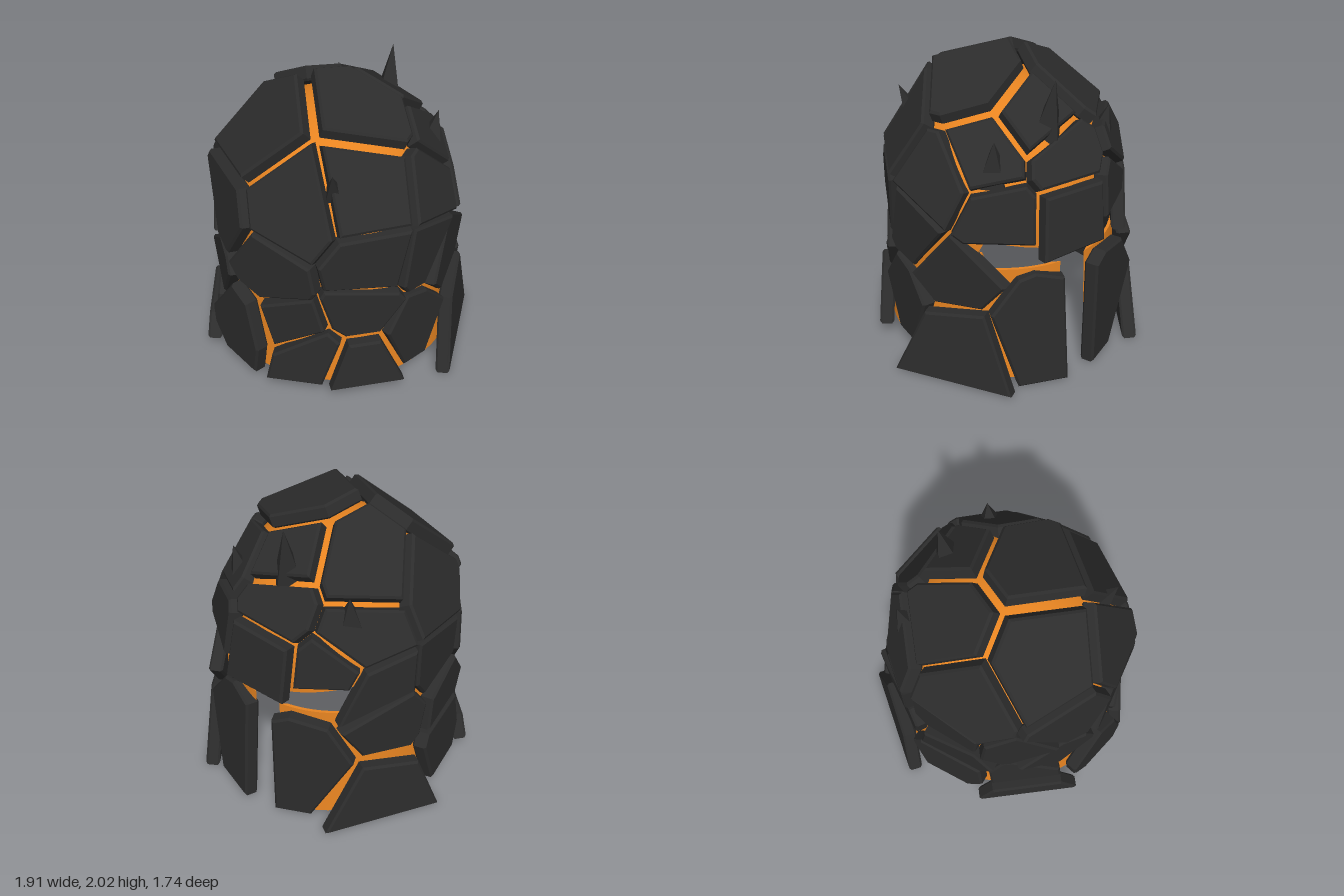
import * as THREE from 'three';
import { toCreasedNormals } from 'three/addons/utils/BufferGeometryUtils.js';

const R = 0.73, SHOULDER = 1.1;   // inner shell: a cylinder with a half-sphere on top

const stone = new THREE.MeshStandardMaterial({ color: 0x2c2c2c });
stone.name = 'charcoal stone';
const glow = new THREE.MeshStandardMaterial({ color: 0xee8822, side: THREE.DoubleSide });
glow.name = 'orange shell';

// Stone plate centres: x, y, z and optional distance of the outer face from the core
const FRONT = [
  [-0.17, 1.6, 0.42, 0.8], [0.25, 1.4, 0.6], [-0.25, 1.2, 0.68], [0.17, 0.95, 0.73],
  [-0.52, 0.97, 0.5], [-0.35, 0.68, 0.64], [-0.06, 0.47, 0.73, 0.86], [0.32, 0.57, 0.66],
  [0.42, 0.39, 0.6, 0.81], [-0.53, 0.43, 0.53], [-0.56, 0.12, 0.56, 0.87],
];
const RIGHT = [
  [0.55, 1.49, 0.27], [0.63, 1.37, -0.2], [0.66, 1.06, 0.34], [0.73, 0.98, -0.08],
  [0.62, 0.68, 0.4], [0.73, 0.45, 0.05], [0.62, 0.3, 0.4, 0.84], [0.67, 0.8, -0.32],
  [0.72, 0.28, -0.46, 0.86],
];
const LEFT = [
  [-0.6, 1.42, 0.12, 0.76], [-0.5, 1.38, -0.43], [-0.73, 1.02, 0.05, 0.755], [-0.62, 1.03, -0.4],
  [-0.73, 0.68, 0.13], [-0.66, 0.75, -0.33], [-0.72, 0.4, 0.12, 0.81], [-0.72, 0.24, -0.47, 0.87],
];
const BACK = [
  [0.45, 1.22, -0.56], [-0.4, 1.17, -0.6], [0.02, 1.2, -0.73, 0.79],
  [0.28, 0.42, -0.72, 0.82], [-0.3, 0.46, -0.7, 0.82], [0, 1.5, -0.6],
];
const TOP = [
  [-0.38, 1.7, -0.25, 0.79], [0.27, 1.81, -0.04, 0.825], [0.08, 1.72, -0.46, 0.79], [0.43, 1.56, -0.4],
];
const SEEDS = [...FRONT, ...RIGHT, ...LEFT, ...BACK, ...TOP].map(([x, y, z, d], i) => {
  const core = new THREE.Vector3(0, Math.min(y, SHOULDER), 0);
  const dir = new THREE.Vector3(x, y, z).sub(core).normalize();
  const dist = d ?? 0.775 + 0.012 * Math.sin(i * 12.9) + 0.04 * (SHOULDER - core.y) ** 2;
  return { x, y, z, core, dir, dist, point: core.clone().addScaledVector(dir, R) };
});

// Keep the part of a polygon where a*px + b*py + c <= 0
function clip(poly, a, b, c) {
  const out = [];
  poly.forEach((p, i) => {
    const q = poly[(i + 1) % poly.length];
    const dp = a * p.x + b * p.y + c, dq = a * q.x + b * q.y + c;
    if (dp <= 0) out.push(p);
    if (dp * dq < 0) out.push(p.clone().lerp(q, dp / (dp - dq)));
  });
  return out;
}

// Flat bevelled plate: the cell around one seed, cut on its tangent plane
function plateGeometry(seed) {
  const n = seed.dir.clone();
  if (seed.y < 0.45) n.y += 0.08;                 // lower plates flare outward
  n.normalize();
  const u = new THREE.Vector3(0, 1, 0).cross(n).normalize();
  const v = n.clone().cross(u);
  const face = seed.core.clone().addScaledVector(seed.dir, seed.dist);
  const k = 0.62;
  let poly = [[-k, -k], [k, -k], [k, k], [-k, k]].map(([x, y]) => new THREE.Vector2(x, y));
  const cut = (normal, origin, gap = 0, base = face) => {
    const a = normal.dot(u), b = normal.dot(v);
    poly = clip(poly, a, b, normal.dot(base.clone().sub(origin)) + gap * Math.hypot(a, b));
  };
  // Seams are measured at shell level, except on the wide side guards
  const guard = seed.z < 0 && seed.dist > 0.85 && seed.y < 0.5;
  const base = guard ? face : seed.point;
  let gap = seed.y > 1.1 ? 0.017 : 0.013;
  if (seed.y > 1.58) gap = 0.027;
  if (guard) gap = seed.x < 0 ? 0.05 : 0.01;
  for (const other of SEEDS) {
    if (other === seed) continue;
    const mid = seed.point.clone().add(other.point).multiplyScalar(0.5);
    cut(other.point.clone().sub(seed.point).normalize(), mid, gap, base);
  }
  // Hem, face slit and eye opening
  const below = (y) => cut(new THREE.Vector3(0, -1, 0), new THREE.Vector3(0, y, 0));
  below(seed.z < -0.2 ? 0.005 : 0.12);
  if (seed.z < -0.55 && seed.y < 0.7) {
    const s = Math.sign(seed.x);
    cut(new THREE.Vector3(-s, 0, 0), new THREE.Vector3(0.115 * s, 0, 0));
    cut(new THREE.Vector3(0, 1, 0), new THREE.Vector3(0, 0.84, 0));
  }
  if (seed.z < -0.5 && seed.y > 1) below(Math.abs(seed.x) < 0.1 ? 0.95 : 1.07);

  poly = poly.filter((p, i) => p.distanceTo(poly[(i + 1) % poly.length]) > 0.04);
  const bevel = 0.014, thick = 0.095;
  const geo = new THREE.ExtrudeGeometry(new THREE.Shape(poly), {
    depth: thick - 2 * bevel, bevelEnabled: true, bevelThickness: bevel,
    bevelSize: bevel, bevelOffset: -bevel, bevelSegments: 1,
  });
  geo.translate(0, 0, bevel - thick);
  return geo.applyMatrix4(new THREE.Matrix4().makeBasis(u, v, n).setPosition(face));
}

// Shell wall swept around the axis; a is the angle from the middle of the back
function shellGeometry(from, to, low, high) {
  const cols = 96, rows = 14, ring = 2 * (rows + 1), pos = [], idx = [];
  for (let i = 0; i <= cols; i++) {
    const a = from + (to - from) * i / cols;
    const turn = Math.abs(Math.min(a, 2 * Math.PI - a));
    const s0 = low(turn), s1 = high(turn);
    const end = from > 0 && (i === 0 || i === cols);
    for (let j = 0; j < ring; j++) {
      const inner = j > rows;
      const t = (inner ? ring - 1 - j : j) / rows;
      const s = s0 + (s1 - s0) * t;
      const r = inner && !end ? R - 0.02 : R;
      const bend = Math.max(s, 0) / R;
      const rad = r * Math.cos(bend) + 0.045 * Math.min(s, 0) ** 2;   // flared hem
      pos.push(rad * Math.sin(a), SHOULDER + Math.min(s, 0) + r * Math.sin(bend), -rad * Math.cos(a));
    }
  }
  for (let i = 0; i < cols; i++) {
    for (let j = 0; j < ring; j++) {
      const p = i * ring + j, q = i * ring + (j + 1) % ring;
      idx.push(p, q, p + ring, q, q + ring, p + ring);
    }
  }
  const geo = new THREE.BufferGeometry();
  geo.setAttribute('position', new THREE.Float32BufferAttribute(pos, 3));
  geo.setIndex(idx);
  return toCreasedNormals(geo, 0.6);
}

export function createModel() {
  const model = new THREE.Group();
  model.name = 'stoneHelmet';
  const add = (name, geo, mat) => {
    const mesh = new THREE.Mesh(geo, mat);
    mesh.name = name;
    model.add(mesh);
    return mesh;
  };

  // Inner shell with eye opening, nose dip and face slit
  const EYE = 0.8, SLIT = 0.13;
  const brow = (a) => (a < EYE ? 0.94 + 0.12 * a / EYE : 0.96) - SHOULDER;
  const cheek = (a) => (a < EYE ? 0.85 : 0.96) - SHOULDER;
  const hem = (a) => Math.min(0.12, 0.01 + 0.11 * (1 - Math.cos(a))) - SHOULDER;
  add('shellDome', shellGeometry(0, 2 * Math.PI, brow, () => R * Math.PI / 2), glow);
  add('shellSkirt', shellGeometry(SLIT, 2 * Math.PI - SLIT, hem, cheek), glow);

  // Stone plates
  SEEDS.forEach((seed, i) => add(`stonePlate${i + 1}`, plateGeometry(seed), stone));

  // Pointed shards: base, tip, radius
  const shards = [
    [[0.02, 1.5, -0.45], [0.0, 1.99, -0.52], 0.14],
    [[0.4, 1.4, -0.44], [0.43, 1.7, -0.49], 0.12],
    [[-0.43, 1.4, -0.44], [-0.46, 1.68, -0.49], 0.12],
    [[0.41, 1.5, 0.42], [0.47, 1.7, 0.49], 0.07],
  ];
  for (const [base, tip, radius] of shards) {
    const b = new THREE.Vector3(...base), axis = new THREE.Vector3(...tip).sub(b);
    const geo = new THREE.ConeGeometry(radius, axis.length(), 4).toNonIndexed();
    geo.computeVertexNormals();
    const shard = add('shard', geo, stone);
    shard.position.copy(b).addScaledVector(axis, 0.5);
    shard.quaternion.setFromUnitVectors(new THREE.Vector3(0, 1, 0), axis.normalize());
  }
  return model;
}
